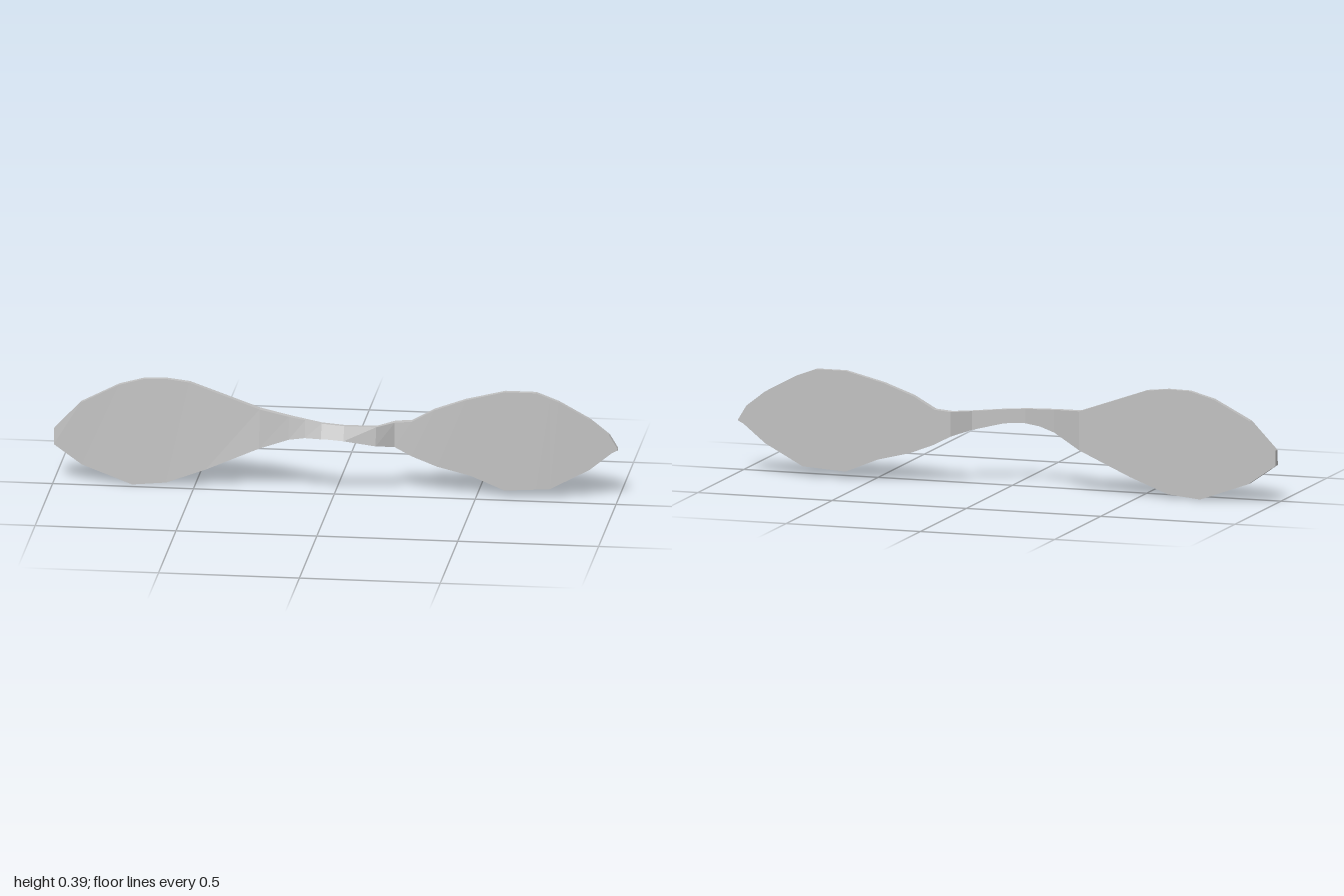
import * as THREE from 'three';

// Outline and depth of the body as polylines along x: [x, value]
const topY = [[-1, .19], [-.905, .29], [-.77, .36], [-.68, .385], [-.6, .387], [-.52, .378], [-.27, .29], [0, .268],
  [.15, .257], [.21, .26], [.27, .265], [.35, .31], [.46, .35], [.6, .385], [.71, .385], [.79, .355], [.9, .295], [.97, .24], [1, .19]];
const bottomY = [[-1, .135], [-.9, .065], [-.72, 0], [-.6, .012], [-.46, .065], [-.27, .15], [-.16, .2], [-.1, .215], [-.03, .22],
  [.04, .215], [.15, .19], [.21, .172], [.27, .14], [.36, .105], [.48, .075], [.6, .025], [.76, .035], [.9, .11], [.98, .175], [1, .185]];
const backZ = [[-1, -.062], [-.27, -.062], [-.16, -.014], [-.04, .027], [.04, .027], [.15, -.002], [.21, -.062], [1, -.062]];
const frontBottomZ = [[-1, -.034], [-.72, -.024], [-.27, -.022], [-.16, .02], [-.04, .062], [.04, .062], [.15, .028], [.21, -.03],
  [.6, -.034], [1, -.044]];
const frontTopZ = [[-1, -.038], [-.6, -.045], [-.27, -.037], [-.16, .008], [-.04, .043], [.04, .043], [.15, .018], [.21, -.036],
  [.6, -.044], [1, -.044]];

// Value of a polyline at x
function at(line, x) {
  let i = 1;
  while (i < line.length - 1 && line[i][0] < x) i++;
  const [x0, v0] = line[i - 1], [x1, v1] = line[i];
  return THREE.MathUtils.lerp(v0, v1, (x - x0) / (x1 - x0));
}

// Four corners of the cross-section: bottom back, bottom front, top front, top back
function section(x) {
  const b = at(bottomY, x), t = at(topY, x), z = at(backZ, x);
  return [[x, b, z], [x, b, at(frontBottomZ, x)], [x, t, at(frontTopZ, x)], [x, t, z]];
}

// Loft all sections between two x positions, with end caps only at the blade tips
function loft(x0, x1) {
  const all = [topY, bottomY, backZ].flat().map(p => p[0]);
  const xs = [...new Set(all)].filter(x => x >= x0 && x <= x1).sort((a, b) => a - b);
  const rings = xs.map(section);
  const pos = [];
  const quad = (a, b, c, d) => pos.push(...a, ...b, ...c, ...a, ...c, ...d);
  for (let i = 0; i < rings.length - 1; i++) {
    const p = rings[i], q = rings[i + 1];
    for (let j = 0; j < 4; j++) {
      const k = (j + 1) % 4;
      quad(p[j], q[j], q[k], p[k]);
    }
  }
  if (x0 === -1) quad(...rings[0]);
  if (x1 === 1) quad(...rings[rings.length - 1].reverse());
  const geometry = new THREE.BufferGeometry();
  geometry.setAttribute('position', new THREE.Float32BufferAttribute(pos, 3));
  geometry.computeVertexNormals();
  return geometry;
}

export function createModel() {
  const group = new THREE.Group();
  group.name = 'twinBladedPiece';
  const grey = new THREE.MeshStandardMaterial({ color: 0xc0c0c0 });
  grey.name = 'light grey';
  grey.flatShading = true;

  // Two flat blades joined by a bowed bridge
  for (const [name, x0, x1] of [['rightBlade', -1, -.27], ['bridge', -.27, .21], ['leftBlade', .21, 1]]) {
    const mesh = new THREE.Mesh(loft(x0, x1), grey);
    mesh.name = name;
    group.add(mesh);
  }
  return group;
}
